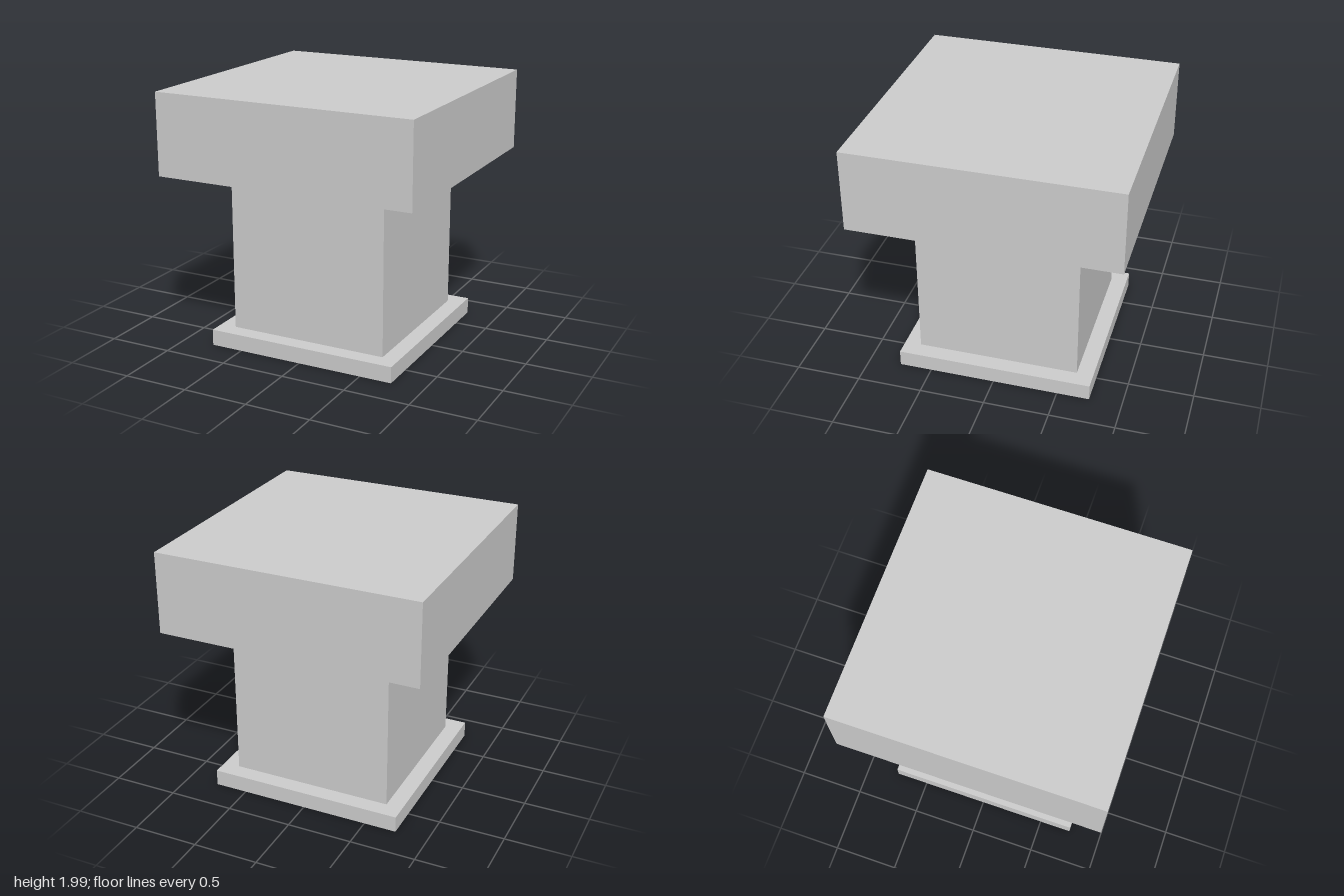
import * as THREE from 'three';

export function createModel() {
  const model = new THREE.Group();
  model.name = 'pedestal';
  const material = new THREE.MeshStandardMaterial({ color: 0xcccccc, flatShading: true });

  // Square block of the given width, spanning bottom to top
  const addBlock = (name, width, bottom, top) => {
    const mesh = new THREE.Mesh(new THREE.BoxGeometry(width, top - bottom, width), material);
    mesh.name = name;
    mesh.position.y = (bottom + top) / 2;
    model.add(mesh);
  };

  addBlock('basePlate', 1.5, 0, 0.125);
  addBlock('column', 1.246, 0.125, 1.37);
  addBlock('capBlock', 2, 1.37, 1.992);

  return model;
}
